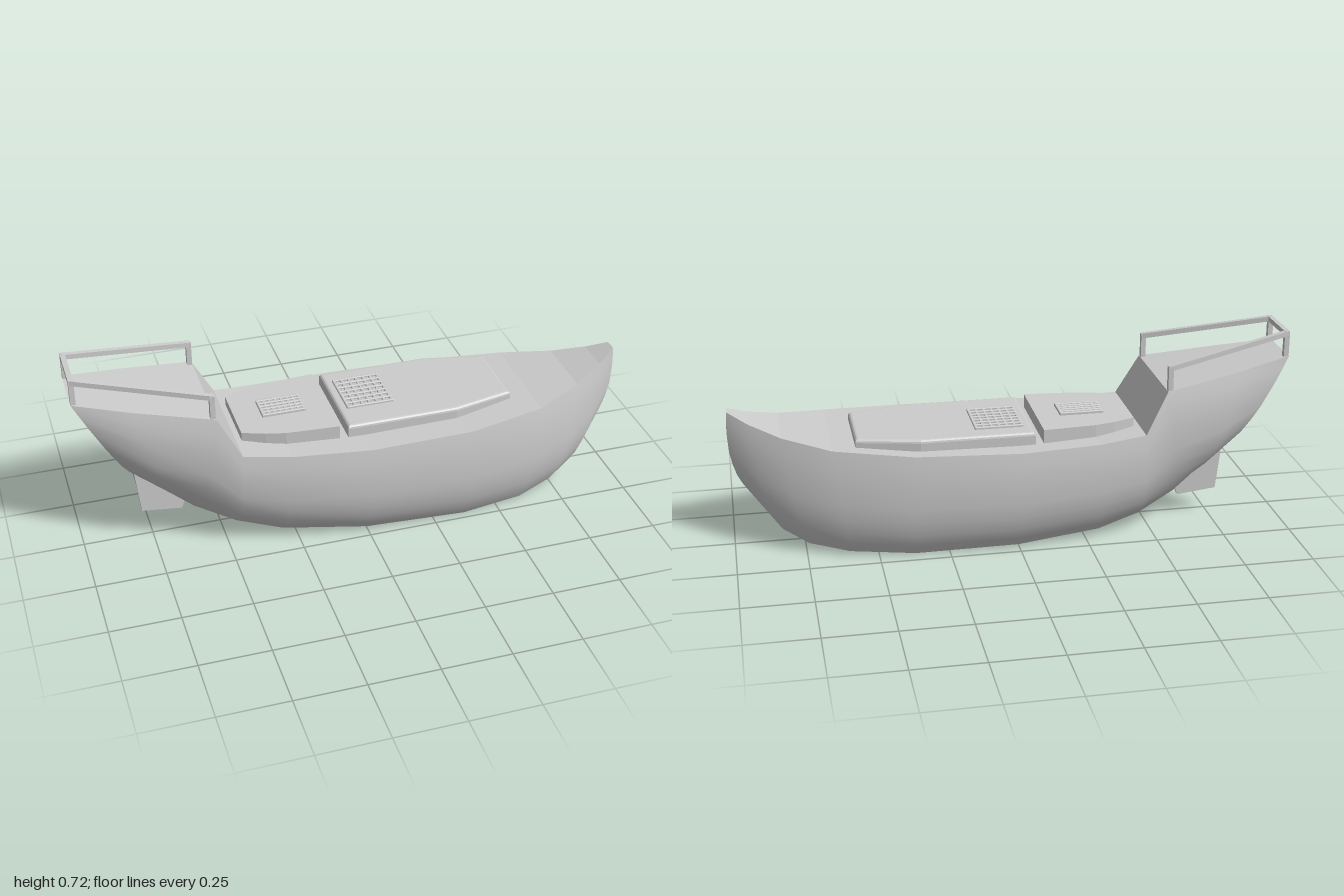
import * as THREE from 'three';
import { RoundedBoxGeometry } from 'three/addons/geometries/RoundedBoxGeometry.js';

const mat = new THREE.MeshStandardMaterial({ color: 0xcccccc });

// Hull stations: keel x, y, half width | sheer x, y, half width | side bulge, stem bulge
const stations = [
  [-0.80, 0.265, 0.015, -1.00, 0.635, 0.10, 0.055, 0],
  [-0.70, 0.19, 0.035, -0.80, 0.602, 0.15, 0.085, 0],
  [-0.60, 0.12, 0.065, -0.53, 0.56, 0.20, 0.075, 0],
  [-0.46, 0.06, 0.11, -0.45, 0.41, 0.225, 0.06, 0],
  [-0.30, 0.03, 0.16, -0.28, 0.395, 0.25, 0.05, 0],
  [0.00, 0.01, 0.205, 0.00, 0.388, 0.272, 0.045, 0],
  [0.37, 0.003, 0.208, 0.37, 0.393, 0.26, 0.037, 0],
  [0.60, 0.012, 0.175, 0.65, 0.41, 0.205, 0.04, 0],
  [0.74, 0.027, 0.118, 0.82, 0.437, 0.125, 0.04, 0.01],
  [0.83, 0.073, 0.082, 0.93, 0.472, 0.065, 0.025, 0.02],
  [0.935, 0.20, 0.022, 1.00, 0.505, 0.022, 0, 0.032],
];
const levels = [0, 0.1, 0.22, 0.35, 0.5, 0.73, 0.88, 1];
const swell = [0, 0.52, 0.88, 1, 1, 0.67, 0.33, 0];

// The centre line runs slightly askew to the long axis
const centre = (x) => 0.033 * x;

// Point on the hull at a station and level, side = 1 (left) or -1 (right)
function hullPoint(s, j, side) {
  const t = levels[j], mix = THREE.MathUtils.lerp;
  const x = mix(s[0], s[3], t) + s[7] * swell[j];
  return [x, mix(s[1], s[4], t), centre(x) + side * (mix(s[2], s[5], t) + s[6] * swell[j])];
}

// Surface through rows of points
function sheet(name, rows, flat) {
  const n = rows[0].length, index = [];
  for (let i = 0; i < rows.length - 1; i++) {
    for (let j = 0; j < n - 1; j++) {
      const a = i * n + j, b = a + n;
      index.push(a, b, a + 1, b, b + 1, a + 1);
    }
  }
  let geo = new THREE.BufferGeometry();
  geo.setAttribute('position', new THREE.Float32BufferAttribute(rows.flat(2), 3));
  geo.setIndex(index);
  if (flat) geo = geo.toNonIndexed();
  geo.computeVertexNormals();
  return named(name, geo);
}

function named(name, geo) {
  const mesh = new THREE.Mesh(geo, mat);
  mesh.name = name;
  return mesh;
}

function box(name, w, h, d, x, y, z) {
  const mesh = named(name, new THREE.BoxGeometry(w, h, d));
  mesh.position.set(x, y, z);
  return mesh;
}

// Square bar between two points
function bar(name, a, b, size) {
  const from = new THREE.Vector3(...a), to = new THREE.Vector3(...b);
  const mesh = named(name, new THREE.BoxGeometry(size, size, from.distanceTo(to)));
  mesh.position.copy(from).add(to).multiplyScalar(0.5);
  mesh.lookAt(to);
  return mesh;
}

function buildHull() {
  const hull = new THREE.Group();
  hull.name = 'hull';
  const up = levels.map((_, j) => j), down = [...up].reverse(), top = levels.length - 1;
  const stern = stations[0], bow = stations[stations.length - 1];
  hull.add(
    sheet('leftSide', stations.map((s) => up.map((j) => hullPoint(s, j, 1)))),
    sheet('rightSide', stations.map((s) => down.map((j) => hullPoint(s, j, -1)))),
    sheet('bottom', stations.map((s) => [hullPoint(s, 0, -1), hullPoint(s, 0, 1)])),
    sheet('deck', stations.map((s) => [hullPoint(s, top, 1), hullPoint(s, top, -1)]), true),
    sheet('transom', up.map((j) => [hullPoint(stern, j, 1), hullPoint(stern, j, -1)])),
    sheet('stem', up.map((j) => [hullPoint(bow, j, -1), hullPoint(bow, j, 1)])),
  );
  return hull;
}

// Railing around the raised stern deck, open towards the bow
function buildRailing() {
  const rail = new THREE.Group();
  rail.name = 'sternRailing';
  const aft = centre(-1), fore = centre(-0.53);
  for (const s of [1, -1]) {
    rail.add(
      box('aftPost', 0.018, 0.09, 0.018, -0.99, 0.675, aft + s * 0.088),
      box('forePost', 0.018, 0.095, 0.018, -0.54, 0.602, fore + s * 0.186),
      bar('sideRail', [-0.995, 0.719, aft + s * 0.088], [-0.533, 0.642, fore + s * 0.187], 0.018),
    );
  }
  rail.add(box('aftRail', 0.018, 0.018, 0.194, -0.99, 0.718, aft));
  return rail;
}

// Low deck house from its plan outline of [x, half width]
function deckHouse(name, outline, y0, y1, bevel) {
  const plan = [...outline, ...outline.map(([x, w]) => [x, -w]).reverse()];
  const shape = new THREE.Shape(plan.map(([x, w]) => new THREE.Vector2(x, w)));
  const geo = new THREE.ExtrudeGeometry(shape, {
    depth: y1 - y0 - bevel, bevelEnabled: bevel > 0,
    bevelThickness: bevel, bevelSize: bevel, bevelOffset: -bevel, bevelSegments: 3,
  });
  geo.rotateX(-Math.PI / 2);
  const mesh = named(name, geo);
  mesh.position.set(0, y0, -0.014);
  return mesh;
}

// Lattice hatch cover of crossed rounded bars
function grating(name, x0, x1, z0, z1, y, nx, nz) {
  const group = new THREE.Group();
  group.name = name;
  const size = 0.011, w = x1 - x0, d = z1 - z0;
  for (let i = 0; i < nx; i++) {
    const b = named('crossBar', new RoundedBoxGeometry(size, 0.014, d, 1, 0.003));
    b.position.set(x0 + size / 2 + (i / (nx - 1)) * (w - size), y, (z0 + z1) / 2);
    group.add(b);
  }
  for (let i = 0; i < nz; i++) {
    const b = named('longBar', new RoundedBoxGeometry(w, 0.016, size, 1, 0.003));
    b.position.set((x0 + x1) / 2, y, z0 + size / 2 + (i / (nz - 1)) * (d - size));
    group.add(b);
  }
  return group;
}

function buildRudder() {
  const shape = new THREE.Shape([
    new THREE.Vector2(-0.80, 0.28), new THREE.Vector2(-0.78, 0.095),
    new THREE.Vector2(-0.635, 0.078), new THREE.Vector2(-0.59, 0.2),
  ]);
  const geo = new THREE.ExtrudeGeometry(shape, { depth: 0.02, bevelEnabled: false });
  geo.translate(0, 0, centre(-0.7) - 0.01);
  return named('rudder', geo);
}

export function createModel() {
  const model = new THREE.Group();
  model.name = 'boat';
  model.add(buildHull(), buildRailing(), buildRudder());

  // Deck houses with their hatches
  model.add(
    deckHouse('aftHouse', [[-0.43, 0.122], [-0.35, 0.152], [-0.28, 0.169], [-0.09, 0.183]], 0.37, 0.44, 0),
    deckHouse('foreHouse', [[-0.06, 0.185], [0.345, 0.185], [0.568, 0.137]], 0.37, 0.434, 0.012),
    grating('aftHatch', -0.335, -0.175, -0.07, 0.035, 0.442, 8, 6),
    grating('foreHatch', -0.03, 0.145, -0.135, 0.06, 0.434, 7, 8),
  );
  return model;
}
